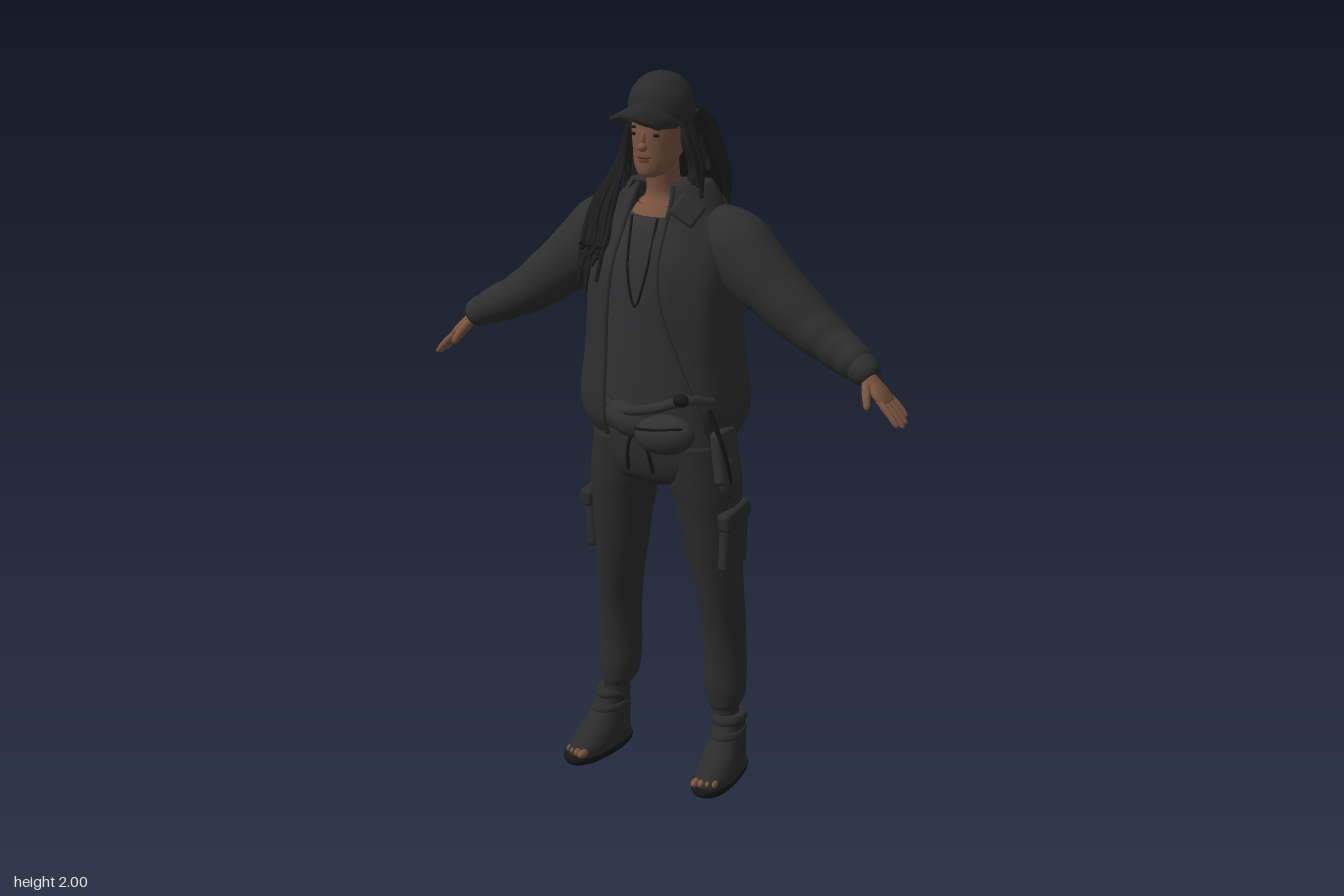
import * as THREE from 'three';
import { RoundedBoxGeometry } from 'three/addons/geometries/RoundedBoxGeometry.js';

const mat = (name, color, side = THREE.FrontSide) => {
  const m = new THREE.MeshStandardMaterial({ color, side });
  m.name = name;
  return m;
};
const V = (x, y, z) => new THREE.Vector3(x, y, z);

// Catmull-Rom interpolation of whole rows of numbers
function sampleRows(rows, t) {
  const n = rows.length - 1, f = Math.min(t * n, n - 1e-6), i = Math.floor(f), k = f - i;
  const at = j => rows[Math.max(0, Math.min(n, j))];
  return rows[i].map((p1, c) => {
    const p0 = at(i - 1)[c], p2 = at(i + 1)[c], p3 = at(i + 2)[c];
    return 0.5 * (2 * p1 + (p2 - p0) * k + (2 * p0 - 5 * p1 + 4 * p2 - p3) * k * k + (3 * p1 - p0 - 3 * p2 + p3) * k * k * k);
  });
}

// angle on a squared-off ellipse where its x equals the given value
const edgeAngle = (x, a, p) => {
  const q = Math.acos(Math.min(1, Math.pow(Math.abs(x) / a, 1 / p)));
  return x < 0 ? Math.PI - q : q;
};

// Skin over rows [x, y, z, radiusAcross, radiusDepth, openLeft?, openRight?]
function loft(rows, { steps = 40, sides = 32, power = 1, flat = false, fold = () => 0 } = {}) {
  const pos = [], idx = [], open = rows[0].length > 5, cols = open ? sides + 1 : sides;
  const sgnPow = v => Math.sign(v) * Math.pow(Math.abs(v), power);
  for (let i = 0; i <= steps; i++) {
    const t = i / steps, r = sampleRows(rows, t);
    const p = sampleRows(rows, Math.max(0, t - 0.02)), q = sampleRows(rows, Math.min(1, t + 0.02));
    const dir = flat ? V(0, Math.sign(q[1] - p[1]), 0) : V(q[0] - p[0], q[1] - p[1], q[2] - p[2]).normalize();
    const u = dir.clone().cross(V(0, 0, 1)).normalize(), v = u.clone().cross(dir);
    const from = open ? edgeAngle(r[5], r[3], power) : 0;
    const to = Math.PI * 2 + (open ? edgeAngle(r[6], r[3], power) : 0);
    for (let j = 0; j < cols; j++) {
      const a = from + (to - from) * j / sides, w = 1 + fold(t, a);
      const cu = sgnPow(Math.cos(a)) * r[3] * w, cv = sgnPow(Math.sin(a)) * r[4] * w;
      pos.push(r[0] + u.x * cu + v.x * cv, r[1] + u.y * cu + v.y * cv, r[2] + u.z * cu + v.z * cv);
    }
  }
  for (let i = 0; i < steps; i++) for (let j = 0; j < sides; j++) {
    const k = open ? j + 1 : (j + 1) % sides;
    const a = i * cols + j, b = a + cols, c = (i + 1) * cols + k, d = i * cols + k;
    idx.push(a, b, d, b, c, d);
  }
  if (!open) [0, steps].forEach(i => {
    const c = pos.length / 3, r = rows[i ? rows.length - 1 : 0];
    pos.push(r[0], r[1], r[2]);
    for (let j = 0; j < sides; j++) {
      const a = i * cols + j, b = i * cols + (j + 1) % sides;
      idx.push(c, ...(i ? [b, a] : [a, b]));
    }
  });
  const g = new THREE.BufferGeometry();
  g.setAttribute('position', new THREE.Float32BufferAttribute(pos, 3));
  g.setIndex(idx);
  g.computeVertexNormals();
  return g;
}

export function createModel() {
  const model = new THREE.Group();
  model.name = 'figure';
  const jacketMat = mat('jacket charcoal', 0x2e2e2e, THREE.DoubleSide), shirtMat = mat('shirt grey', 0x313133);
  const pantsMat = mat('trouser charcoal', 0x2c2c2c), hairMat = mat('hair black', 0x1e1e1e);
  const capMat = mat('cap black', 0x2a2a2a), skinMat = mat('skin brown', 0x78533f);
  const shoeMat = mat('shoe grey', 0x2b2b2b), soleMat = mat('sole black', 0x171717);
  const lipMat = mat('lip brown', 0x643c33), bagMat = mat('bag grey', 0x303030);
  const add = (name, geo, m) => {
    const mesh = new THREE.Mesh(geo, m);
    mesh.name = name;
    model.add(mesh);
    return mesh;
  };
  const ball = (name, m, x, y, z, a, b, c, rz = 0) => {
    const o = add(name, new THREE.SphereGeometry(1, 20, 14), m);
    o.position.set(x, y, z);
    o.scale.set(a, b, c);
    o.rotation.z = rz;
    return o;
  };
  const box = (name, m, x, y, z, w, h, d, r = 0.01) => {
    const o = add(name, new RoundedBoxGeometry(w, h, d, 3, r), m);
    o.position.set(x, y, z);
    return o;
  };
  const tube = (name, m, pts, r, n = 16, s = 6) =>
    add(name, new THREE.TubeGeometry(new THREE.CatmullRomCurve3(pts), n, r, s), m);
  let seed = 7;
  const rnd = (a, b) => {
    seed = (seed * 16807) % 2147483647;
    return a + (b - a) * seed / 2147483647;
  };

  // Head, neck and face
  add('head', loft([[0, 1.727, 0.065, 0.015, 0.015], [0, 1.737, 0.055, 0.036, 0.042], [0, 1.765, 0.035, 0.054, 0.068],
    [0, 1.80, 0.015, 0.064, 0.088], [0, 1.85, 0.008, 0.071, 0.094], [0, 1.90, 0.005, 0.073, 0.09], [0, 1.95, 0, 0.05, 0.06]], { flat: true }), skinMat);
  add('neck', loft([[0, 1.58, -0.01, 0.11, 0.10], [0, 1.635, -0.015, 0.08, 0.078], [0, 1.67, -0.015, 0.05, 0.056],
    [0, 1.72, -0.005, 0.044, 0.05], [0, 1.77, 0.005, 0.046, 0.05]], { flat: true, steps: 20 }), skinMat);
  ball('nose', skinMat, 0, 1.812, 0.104, 0.013, 0.012, 0.016);
  ball('noseBridge', skinMat, 0, 1.832, 0.098, 0.008, 0.024, 0.011);
  ball('upperLip', lipMat, 0, 1.785, 0.099, 0.021, 0.006, 0.009);
  ball('lowerLip', lipMat, 0, 1.776, 0.097, 0.018, 0.007, 0.009);
  for (const s of [-1, 1]) {
    ball('eye', soleMat, s * 0.03, 1.843, 0.09, 0.013, 0.005, 0.006);
    ball('eyebrow', hairMat, s * 0.031, 1.862, 0.091, 0.018, 0.004, 0.005, -s * 0.1);
    ball('ear', skinMat, s * 0.07, 1.83, 0.005, 0.01, 0.027, 0.018);
  }

  // Cap with arched brim
  add('capCrown', loft([[0, 1.865, 0, 0.086, 0.093], [0, 1.90, 0.004, 0.088, 0.095], [0, 1.945, 0.004, 0.08, 0.087],
    [0, 1.98, 0.004, 0.054, 0.06], [0, 1.995, 0.004, 0.026, 0.03], [0, 1.998, 0.004, 0.004, 0.004]], { flat: true }), capMat);
  ball('capButton', capMat, 0, 1.996, 0.004, 0.01, 0.005, 0.01);
  const brim = new THREE.BoxGeometry(2, 1, 1, 20, 1, 8), bp = brim.attributes.position;
  for (let i = 0; i < bp.count; i++) {
    const s = bp.getX(i), v = bp.getZ(i) + 0.5, inner = 0.085 * Math.sqrt(1 - 0.7 * s * s);
    const reach = 0.135 * Math.pow(Math.max(0, 1 - s * s * s * s), 0.6);
    bp.setXYZ(i, s * (0.078 - 0.006 * v), 1.925 - 0.05 * s * s - 0.012 * v + bp.getY(i) * 0.009, inner + v * reach);
  }
  brim.computeVertexNormals();
  add('capBrim', brim, capMat);

  // Hair: a filled mass at the back covered with locks
  const mass = [[0, 1.89, -0.03, 0.085, 0.08], [0, 1.85, -0.065, 0.098, 0.09], [0, 1.76, -0.105, 0.115, 0.072],
    [0, 1.67, -0.145, 0.115, 0.05], [0, 1.60, -0.168, 0.085, 0.03], [0, 1.57, -0.175, 0.05, 0.012]];
  add('hairMass', loft(mass, { flat: true, fold: (t, a) => 0.03 * Math.sin(17 * a + 4 * t) }), hairMat);
  for (let i = 0; i < 60; i++) {
    const a = Math.PI * (0.97 + 1.06 * (i + rnd(0, 0.8)) / 60), end = rnd(0.68, 1.0), pts = [];
    for (let k = 0; k <= 5; k++) {
      const r = sampleRows(mass, end * k / 5), w = rnd(0.97, 1.12);
      pts.push(V(r[3] * Math.cos(a) * w + rnd(-0.006, 0.006), r[1], r[2] + r[4] * Math.sin(a) * w));
    }
    tube('backLock', hairMat, pts, rnd(0.006, 0.01), 14, 5);
  }
  for (const s of [-1, 1]) for (let i = 0; i < 12; i++) {
    const z = rnd(-0.06, 0.045), x = rnd(0.085, 0.11), low = rnd(1.66, 1.74);
    tube('sideLock', hairMat, [V(s * 0.078, 1.875, z), V(s * (x - 0.005), 1.82, z + 0.005),
      V(s * (x + 0.012), 1.76, z - 0.005), V(s * (x + rnd(0, 0.03)), low, z)], rnd(0.006, 0.009), 12, 5);
  }
  for (let i = 0; i < 14; i++) {
    const x = rnd(-0.03, 0.03), low = rnd(1.41, 1.56);
    tube('frontLock', hairMat, [V(-0.08, 1.85, rnd(0, 0.04)), V(-0.105 + x * 0.4, 1.74, 0.05), V(-0.125 + x, 1.64, 0.09 + rnd(0, 0.02)),
      V(-0.13 + x * 1.2, 1.54, 0.135 + rnd(0, 0.015)), V(-0.14 + x + rnd(-0.01, 0.01), low, 0.155 + rnd(0, 0.01))], rnd(0.006, 0.009), 16, 5);
  }

  // Shirt with cord and necklace
  add('shirt', loft([[0, 1.62, -0.012, 0.088, 0.084], [0, 1.58, -0.015, 0.13, 0.112], [0, 1.48, -0.015, 0.175, 0.14],
    [0, 1.35, -0.015, 0.18, 0.148], [0, 1.2, -0.015, 0.19, 0.15], [0, 1.03, -0.015, 0.2, 0.148]], { flat: true }), shirtMat);
  tube('cord', soleMat, [V(-0.05, 1.62, 0.075), V(-0.035, 1.48, 0.126), V(-0.008, 1.385, 0.136), V(0.018, 1.46, 0.13), V(0.03, 1.62, 0.078)], 0.004, 28);
  const necklace = add('necklace', new THREE.TorusGeometry(0.068, 0.003, 6, 32), lipMat);
  necklace.position.set(0, 1.65, -0.014);
  necklace.rotation.x = Math.PI / 2 + 0.1;

  // Open jacket body: last two numbers are the x of its front edges
  const jacket = [[0, 1.02, -0.02, 0.212, 0.165, -0.095, 0.19], [0, 1.06, -0.02, 0.232, 0.184, -0.095, 0.19], [0, 1.12, -0.02, 0.238, 0.187, -0.095, 0.175],
    [0, 1.25, -0.02, 0.222, 0.18, -0.093, 0.125], [0, 1.4, -0.02, 0.213, 0.172, -0.09, 0.072], [0, 1.5, -0.028, 0.205, 0.158, -0.085, 0.055],
    [0, 1.6, -0.05, 0.175, 0.13, -0.075, 0.052], [0, 1.66, -0.052, 0.125, 0.108, -0.065, 0.055], [0, 1.70, -0.04, 0.082, 0.085, -0.055, 0.05]];
  add('jacketBody', loft(jacket, { flat: true, power: 0.88, steps: 48, sides: 64,
    fold: (t, a) => 0.012 * Math.sin(9 * a + 5 * t) * Math.sin(Math.PI * t) }), jacketMat);
  for (const c of [5, 6]) tube('jacketPlacket', jacketMat, jacket.map(r =>
    V(r[c], r[1], r[2] + r[4] * Math.pow(Math.sin(edgeAngle(r[c], r[3], 0.88)), 0.88))), 0.007, 40);
  add('collar', loft([[0, 1.615, -0.045, 0.165, 0.125, -0.1, 0.075], [0, 1.67, -0.05, 0.135, 0.115, -0.085, 0.07],
    [0, 1.705, -0.05, 0.105, 0.1, -0.075, 0.065], [0, 1.68, -0.045, 0.085, 0.085, -0.06, 0.055]], { flat: true, steps: 16, sides: 40 }), jacketMat);
  ball('hoodFold', jacketMat, 0, 1.61, -0.135, 0.13, 0.075, 0.05);
  box('lapel', jacketMat, 0.105, 1.645, 0.05, 0.075, 0.07, 0.018, 0.008).rotation.set(-0.5, 0.5, -0.4);

  // Trouser hips, waistband and drawstrings
  add('hips', loft([[0, 1.08, -0.015, 0.195, 0.135], [0, 1.0, -0.015, 0.21, 0.135], [0, 0.93, -0.02, 0.208, 0.13],
    [0, 0.885, -0.022, 0.16, 0.11], [0, 0.86, -0.022, 0.06, 0.06]], { flat: true, power: 0.9 }), pantsMat);
  for (const x of [-0.035, 0.03]) tube('drawstring', soleMat, [V(x * 0.6, 1.03, 0.135), V(x, 0.98, 0.13), V(x * 1.2, 0.92, 0.115)], 0.005);

  for (const s of [-1, 1]) {
    const side = rows => rows.map(([x, ...rest]) => [s * x, ...rest]);
    // Sleeve and ribbed cuff
    add('sleeve', loft(side([[0.12, 1.57, -0.05, 0.085, 0.08], [0.2, 1.53, -0.045, 0.108, 0.09], [0.3, 1.452, -0.04, 0.088, 0.088],
      [0.42, 1.36, -0.04, 0.071, 0.08], [0.5, 1.312, -0.034, 0.058, 0.068], [0.56, 1.283, -0.02, 0.052, 0.055], [0.595, 1.266, -0.011, 0.04, 0.043]]),
      { steps: 64, fold: (t, a) => 0.03 * t * Math.sin(44 * t + 1.5 * Math.sin(a)) }), jacketMat);
    add('cuff', loft(side([[0.58, 1.275, -0.012, 0.035, 0.038], [0.59, 1.269, -0.01, 0.043, 0.046], [0.612, 1.255, -0.006, 0.04, 0.043],
      [0.624, 1.247, -0.004, 0.031, 0.034]]), { steps: 14 }), jacketMat);
    // Hand
    add('palm', loft(side([[0.6, 1.258, -0.002, 0.019, 0.025], [0.632, 1.232, 0, 0.017, 0.03], [0.655, 1.208, 0.002, 0.016, 0.04],
      [0.675, 1.187, 0.002, 0.011, 0.036]]), { steps: 14, sides: 20 }), skinMat);
    [-0.029, -0.009, 0.011, 0.031].forEach((z, i) => {
      const l = [0.78, 0.95, 1, 0.9][i], f = (x, y, k, r) => [x, y, z * k, r, r];
      add('finger', loft(side([f(0.66, 1.2, 1, 0.009), f(0.66 + 0.035 * l, 1.2 - 0.033 * l, 1.15, 0.0095),
        f(0.66 + 0.062 * l, 1.2 - 0.064 * l, 1.25, 0.007), f(0.66 + 0.065 * l, 1.2 - 0.069 * l, 1.26, 0.003)]), { steps: 10, sides: 10 }), skinMat);
    });
    add('thumb', loft(side([[0.618, 1.238, 0.018, 0.012, 0.012], [0.632, 1.212, 0.045, 0.012, 0.011], [0.642, 1.188, 0.062, 0.009, 0.009],
      [0.645, 1.18, 0.066, 0.003, 0.003]]), { steps: 10, sides: 10 }), skinMat);
    // Trouser leg and cargo pocket
    add('trouserLeg', loft(side([[0.108, 1.0, -0.017, 0.095, 0.122], [0.123, 0.88, -0.021, 0.1, 0.113], [0.136, 0.8, -0.025, 0.088, 0.104],
      [0.15, 0.65, -0.033, 0.074, 0.088], [0.165, 0.5, -0.05, 0.06, 0.077], [0.17, 0.4, -0.06, 0.057, 0.07], [0.172, 0.28, -0.058, 0.061, 0.064],
      [0.175, 0.225, -0.055, 0.054, 0.058], [0.178, 0.195, -0.05, 0.038, 0.046]]),
      { flat: true, steps: 56, fold: (t, a) => 0.014 * t * Math.sin(40 * t + 2 * Math.sin(a)) }), pantsMat);
    box('cargoPocket', pantsMat, s * 0.213, 0.715, -0.02, 0.034, 0.16, 0.125, 0.014).rotation.z = -s * 0.04;
    box('pocketFlap', pantsMat, s * 0.219, 0.79, -0.015, 0.04, 0.055, 0.14, 0.014).rotation.set(0.12, 0, s * 0.08);
    // Sock, shoe, sole, straps and open toe
    add('sock', loft(side([[0.18, 0.23, -0.05, 0.036, 0.042], [0.182, 0.14, -0.05, 0.036, 0.042]]), { flat: true, steps: 4 }), shoeMat);
    const foot = new THREE.Group();
    foot.name = 'foot';
    const parts = model.children.length;
    add('shoeUpper', loft([[0, 0.015, 0.02, 0.056, 0.125], [0, 0.04, 0.016, 0.057, 0.124], [0, 0.07, -0.002, 0.053, 0.105],
      [0, 0.10, -0.028, 0.047, 0.081], [0, 0.14, -0.047, 0.041, 0.06], [0, 0.18, -0.052, 0.042, 0.052]], { flat: true, power: 0.88 }), shoeMat);
    add('sole', loft([[0, 0, 0.022, 0.054, 0.132], [0, 0.012, 0.022, 0.06, 0.14], [0, 0.024, 0.022, 0.059, 0.138]], { flat: true, steps: 6, power: 0.85 }), soleMat);
    for (let i = 0; i < 4; i++)
      ball('toe', skinMat, s * (-0.027 + i * 0.018), 0.034, 0.135 - i * 0.006, 0.012 - i * 0.001, 0.012, 0.022);
    for (const [y, z, a, b] of [[0.165, -0.05, 0.044, 0.056], [0.125, -0.04, 0.045, 0.068]])
      add('shoeStrap', loft([[0, y - 0.012, z, a, b], [0, y, z, a + 0.004, b + 0.004], [0, y + 0.012, z, a - 0.002, b - 0.002]],
        { flat: true, steps: 6 }), shoeMat).rotation.x = 0;
    foot.add(...model.children.slice(parts));
    foot.position.x = s * 0.198;
    foot.rotation.y = s * 0.1;
    model.add(foot);
  }

  // Waist bag, its belt and the hanging pouch
  tube('bagBelt', bagMat, [V(-0.15, 1.13, 0.115), V(-0.05, 1.10, 0.15), V(0.06, 1.12, 0.165), V(0.15, 1.15, 0.14), V(0.2, 1.14, 0.08)], 0.014, 24, 8);
  ball('bagWrap', bagMat, -0.03, 1.07, 0.135, 0.075, 0.045, 0.038, -0.35);
  ball('waistBag', bagMat, 0.095, 1.05, 0.155, 0.09, 0.055, 0.05, 0.12);
  tube('bagZip', soleMat, [V(0.02, 1.065, 0.186), V(0.09, 1.075, 0.2), V(0.165, 1.085, 0.182)], 0.004);
  ball('buckle', soleMat, 0.15, 1.157, 0.165, 0.022, 0.018, 0.018);
  box('hangingPouch', bagMat, 0.225, 0.985, 0.055, 0.035, 0.15, 0.1, 0.014).rotation.z = 0.12;
  ball('pouchTip', bagMat, 0.237, 0.925, 0.055, 0.02, 0.06, 0.04);
  tube('pouchStrap', soleMat, [V(0.2, 1.12, 0.1), V(0.235, 1.03, 0.095), V(0.25, 0.93, 0.075), V(0.24, 0.87, 0.06)], 0.007);
  return model;
}
